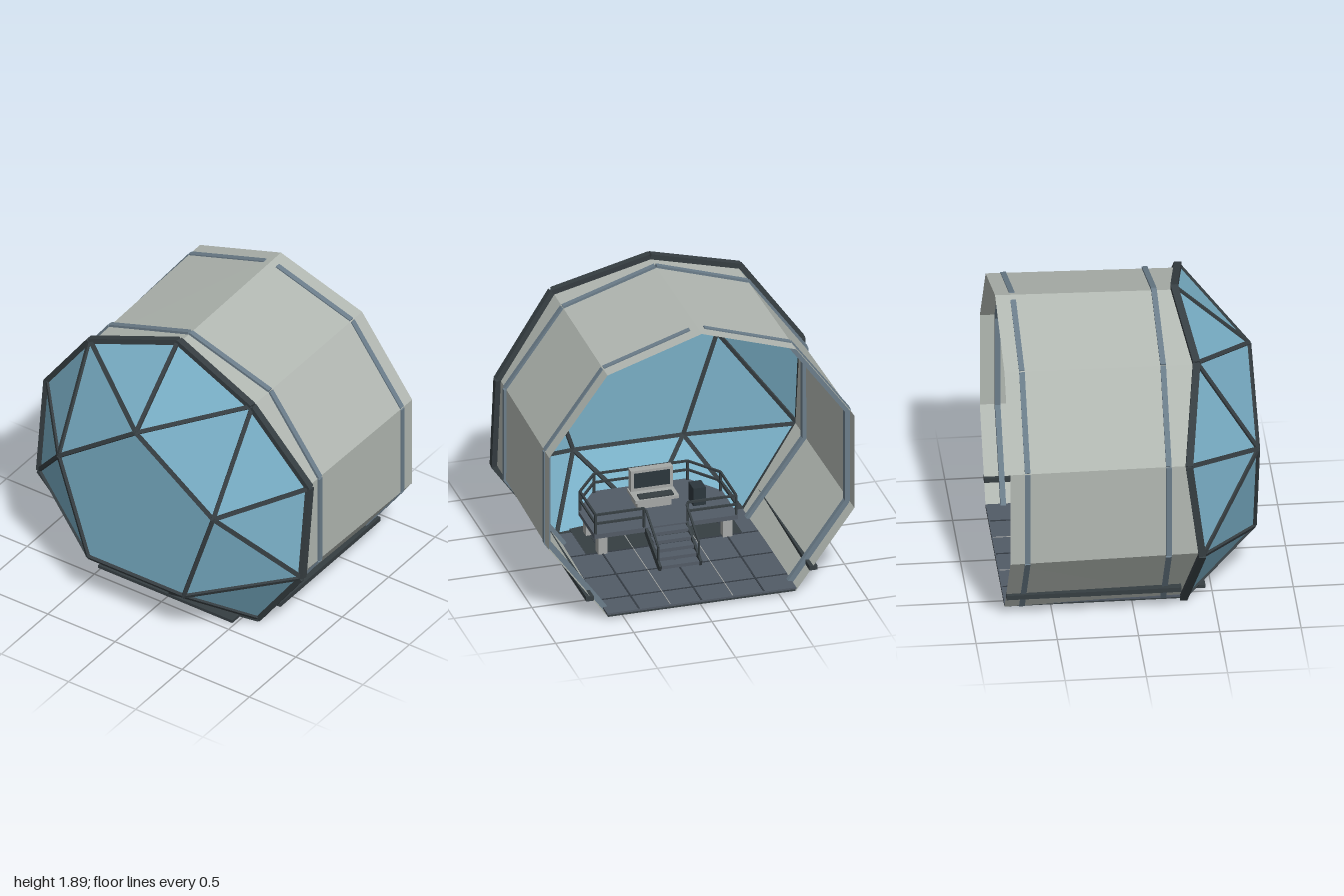
import * as THREE from 'three';

const mat = (name, color, side = THREE.FrontSide) => {
  const m = new THREE.MeshStandardMaterial({ color, side });
  m.name = name;
  return m;
};
const M = {
  glass: mat('blue glass', 0x78adc4, THREE.DoubleSide),
  wall: mat('pale grey panel', 0xb2b8b2, THREE.DoubleSide),
  frame: mat('dark frame', 0x363e42),
  rib: mat('blue grey rib', 0x6b7d8a),
  floor: mat('slate floor', 0x525b66),
  seam: mat('floor seam', 0x343b43),
  steel: mat('light steel', 0xa5a8a6),
  screen: mat('dark screen', 0x2c363c),
};
const V = (x, y, z) => new THREE.Vector3(x, y, z);
const CY = 0.857;

// Corner i of the ten-sided section, counted from the top towards +x
const corner = (i, r, z) => {
  const a = (i * Math.PI) / 5;
  return V(r * Math.sin(a), CY + r * Math.cos(a), z);
};

function group(name, parent) {
  const g = new THREE.Group();
  g.name = name;
  parent.add(g);
  return g;
}
function box(parent, name, m, w, h, d, x, y, z) {
  const mesh = new THREE.Mesh(new THREE.BoxGeometry(w, h, d), m);
  mesh.name = name;
  mesh.position.set(x, y, z);
  parent.add(mesh);
  return mesh;
}
// Square bar from a to b; its thickness t points along 'out'
function bar(parent, name, m, a, b, w, t, out = V(0, 1, 0)) {
  const dir = b.clone().sub(a);
  const len = dir.length();
  dir.normalize();
  const side = V(0, 0, 0).crossVectors(out, dir).normalize();
  const up = V(0, 0, 0).crossVectors(dir, side);
  const mesh = box(parent, name, m, w, t, len, 0, 0, 0);
  mesh.quaternion.setFromRotationMatrix(new THREE.Matrix4().makeBasis(side, up, dir));
  mesh.position.copy(a).add(b).multiplyScalar(0.5);
  parent.add(mesh);
}
// Flat-shaded mesh from a list of triangles of points
function facets(parent, name, m, tris) {
  const g = new THREE.BufferGeometry().setFromPoints(tris.flat());
  g.computeVertexNormals();
  const mesh = new THREE.Mesh(g, m);
  mesh.name = name;
  parent.add(mesh);
}

// Faceted window: a pentagon in front, joined to the ten-sided rim
function buildWindow(root) {
  const g = group('window', root);
  const rim = [], pent = [];
  for (let i = 0; i < 10; i++) rim.push(corner(i, 1.026, i % 2 ? 0.395 : 0.315));
  rim[5] = V(0, 0.025, 0.41);
  for (let i = 0; i < 5; i++) pent.push(corner(2 * i, 0.603, 0.772));
  const tris = [], struts = [];
  for (let i = 0; i < 5; i++) {
    const p = pent[i], q = pent[(i + 1) % 5];
    const r0 = rim[2 * i], r1 = rim[2 * i + 1], r9 = rim[(2 * i + 9) % 10];
    tris.push([p, r0, r1], [p, r9, r0], [p, r1, q], [V(0, CY, 0.772), p, q].reverse());
    tris[tris.length - 1] = [V(0, CY, 0.772), q, p];
    struts.push([p, q], [p, r0], [p, r1], [p, r9]);
  }
  for (const t of tris) {
    const n = V(0, 0, 0).crossVectors(t[1].clone().sub(t[0]), t[2].clone().sub(t[0]));
    if (n.z < 0) t.reverse();
  }
  facets(g, 'glass', M.glass, tris);
  const mid = V(0, CY, -0.1);
  for (const [a, b] of struts) {
    const out = a.clone().add(b).multiplyScalar(0.5).sub(mid);
    bar(g, 'strut', M.frame, a, b, 0.026, 0.026, out);
  }
  for (let i = 0; i < 10; i++) {
    const a = rim[i], b = rim[(i + 1) % 10];
    const out = a.clone().add(b).multiplyScalar(0.5).sub(V(0, CY, 0.35)).setZ(0);
    bar(g, 'rimBar', M.frame, a, b, 0.045, 0.034, out);
  }
}

// Nine wall panels, flaring slightly to the open back
function buildHull(root) {
  const g = group('hull', root);
  const tris = [];
  for (let k = 0; k < 10; k++) {
    if (k === 4 || k === 5) continue;
    const j = k + 1;
    const a = corner(k, 1.006, k % 2 ? 0.39 : 0.3), b = corner(j, 1.006, j % 2 ? 0.39 : 0.3);
    const c = corner(j, 1.027, -0.787), d = corner(k, 1.027, -0.787);
    tris.push([a, b, c], [a, c, d]);
  }
  facets(g, 'wallPanels', M.wall, tris);

  // Ribs straddle the wall; the rear one is open at the top
  for (const [z, r, gap] of [[0.19, 1.004, 0], [-0.68, 1.012, 0.07]]) {
    for (let k = 0; k < 10; k++) {
      if (k === 4 || k === 5) continue;
      const a = corner(k, r, z), b = corner(k + 1, r, z);
      const out = a.clone().add(b).multiplyScalar(0.5).sub(V(0, CY, z));
      if (k === 0) a.lerp(b, gap);
      if (k === 9) b.lerp(a, gap);
      bar(g, 'rib', M.rib, a, b, 0.034, 0.04, out);
    }
  }
  // Long rails low on both side walls
  for (const s of [-1, 1])
    bar(g, 'sideRail', M.frame, V(s * 0.715, 0.165, 0.29), V(s * 0.715, 0.165, -0.787), 0.05, 0.03);
}

function buildFloor(root) {
  const g = group('floor', root);
  box(g, 'floorPlate', M.floor, 1.21, 0.012, 1.1, 0, 0.042, -0.237);
  box(g, 'underside', M.frame, 1.2, 0.012, 1.1, 0, 0.03, -0.237);
  box(g, 'frontSill', M.frame, 1.0, 0.02, 0.46, 0, 0.04, 0.23);
  for (const x of [-0.4, 0, 0.4]) box(g, 'floorSeam', M.seam, 0.01, 0.004, 1.06, x, 0.049, -0.25);
  for (const z of [-0.6, -0.3, 0]) box(g, 'floorSeam', M.seam, 1.2, 0.004, 0.01, 0, 0.049, z);
  for (const x of [-0.2, 0.2]) box(g, 'floorLine', M.steel, 0.005, 0.004, 1.06, x, 0.049, -0.25);
}

function buildDeck(root) {
  const g = group('deck', root);
  const top = 0.2;
  // Raised platform, narrowing towards the window
  const pts = [[-0.46, -0.04], [0.46, -0.04], [0.46, 0.3], [0.3, 0.52], [-0.3, 0.52], [-0.46, 0.3]];
  const shape = new THREE.Shape(pts.map(([x, z]) => new THREE.Vector2(x, -z)));
  const geo = new THREE.ExtrudeGeometry(shape, { depth: 0.03, bevelEnabled: false });
  const plate = new THREE.Mesh(geo.rotateX(-Math.PI / 2), M.floor);
  plate.name = 'deckPlate';
  plate.position.y = top - 0.03;
  g.add(plate);
  for (const x of [-0.4, 0.4])
    for (const z of [0.01, 0.27]) box(g, 'deckLeg', M.steel, 0.06, 0.13, 0.06, x, 0.108, z);

  // Steps with solid cheeks
  for (let i = 0; i < 5; i++)
    box(g, 'step', M.floor, 0.24, 0.022, 0.065, 0, 0.07 + i * 0.028, -0.31 + i * 0.058);
  for (const s of [-1, 1]) {
    bar(g, 'stairCheek', M.frame, V(s * 0.13, 0.06, -0.34), V(s * 0.13, 0.18, -0.04), 0.015, 0.05);
    bar(g, 'stairRail', M.frame, V(s * 0.13, 0.19, -0.3), V(s * 0.13, 0.32, -0.04), 0.012, 0.012);
    box(g, 'stairPost', M.frame, 0.012, 0.14, 0.012, s * 0.13, 0.12, -0.3);

    // Railing around each half of the deck
    const path = [[0.14, -0.03], [0.45, -0.03], [0.45, 0.3], [0.3, 0.5]];
    path.forEach(([x, z], i) => {
      box(g, 'railPost', M.frame, 0.014, 0.13, 0.014, s * x, top + 0.065, z);
      if (!i) return;
      const [px, pz] = path[i - 1];
      for (const h of [0.07, 0.13])
        bar(g, 'handrail', M.frame, V(s * px, top + h, pz), V(s * x, top + h, z), 0.013, 0.013);
    });
  }
  for (const h of [0.07, 0.13])
    bar(g, 'frontRail', M.frame, V(-0.3, top + h, 0.5), V(0.3, top + h, 0.5), 0.013, 0.013);

  // Control desk with a screen facing the back
  const c = group('console', g);
  box(c, 'deskBase', M.steel, 0.22, 0.07, 0.12, 0, top + 0.035, 0.27);
  box(c, 'deskTop', M.steel, 0.28, 0.02, 0.18, 0, top + 0.08, 0.24);
  box(c, 'keyboard', M.frame, 0.22, 0.01, 0.06, 0, top + 0.095, 0.19);
  box(c, 'monitor', M.steel, 0.27, 0.14, 0.05, 0, top + 0.165, 0.29);
  box(c, 'screen', M.screen, 0.23, 0.1, 0.006, 0, top + 0.168, 0.263);
  box(c, 'sideCabinet', M.screen, 0.08, 0.12, 0.1, -0.27, top + 0.06, 0.2);
}

export function createModel() {
  const root = new THREE.Group();
  root.name = 'observationModule';
  buildWindow(root);
  buildHull(root);
  buildFloor(root);
  buildDeck(root);
  return root;
}
